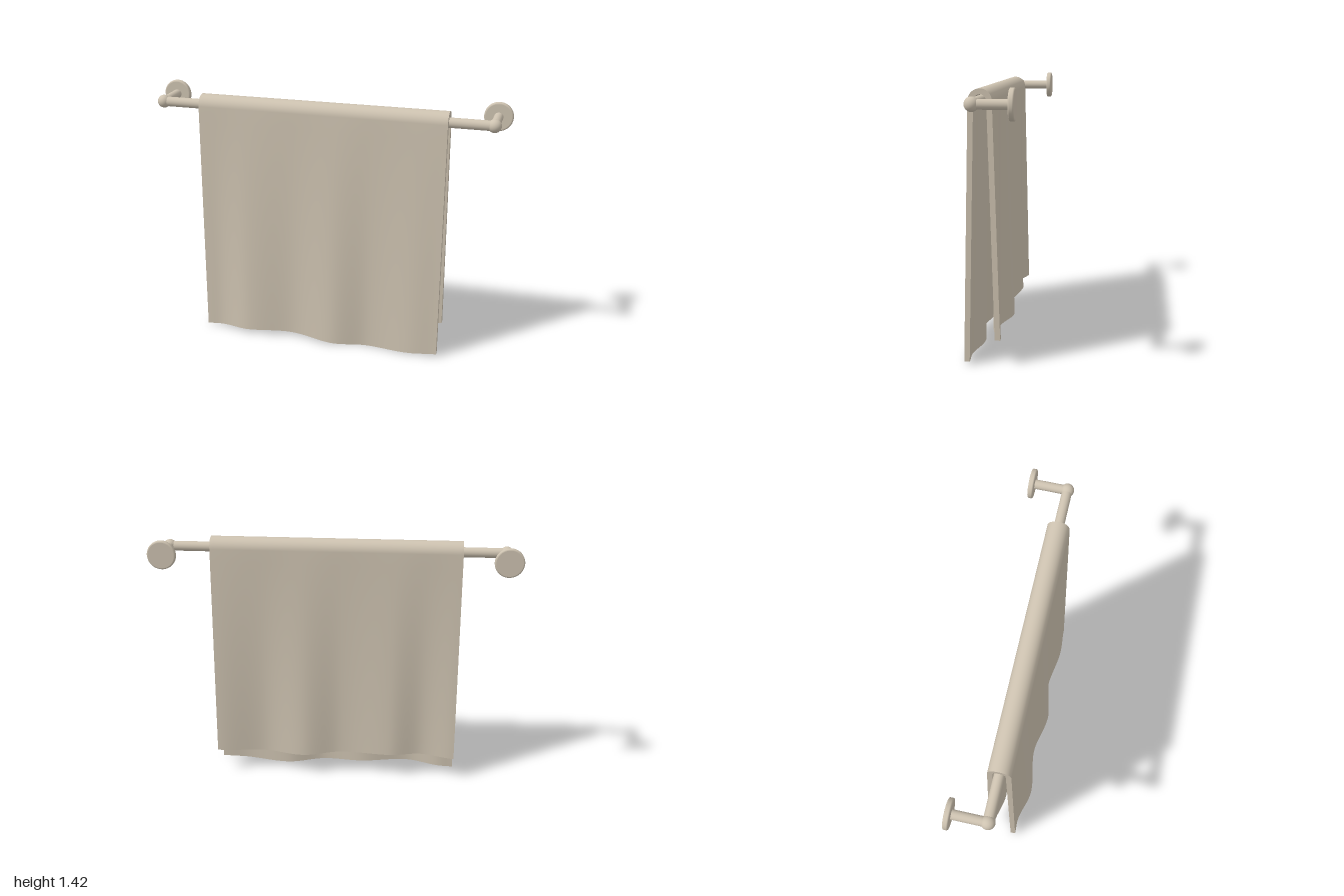
import * as THREE from 'three';
import { mergeGeometries } from 'three/addons/utils/BufferGeometryUtils.js';

const BAR_Y = 1.342, BAR_Z = 0.045, HALF = 0.69;
const OUTER = 0.06, INNER = 0.032;

// Smooth curve through [x, z] points, sampled by x
function curveThrough(points) {
  const n = points.length;
  return (x) => {
    let i = 0;
    while (i < n - 2 && x > points[i + 1][0]) i++;
    const [x0, a] = points[i], [x1, b] = points[i + 1];
    const k = THREE.MathUtils.clamp((x - x0) / (x1 - x0), 0, 1);
    const slope = (j) => {
      if (j === 0 || j === n - 1) return 0;
      const l = points[j][1] - points[j - 1][1], r = points[j + 1][1] - points[j][1];
      return l * r <= 0 ? 0 : (l + r) / (points[j + 1][0] - points[j - 1][0]);
    };
    const h = x1 - x0, k2 = k * k, k3 = k2 * k;
    return (2 * k3 - 3 * k2 + 1) * a + (k3 - 2 * k2 + k) * h * slope(i)
      + (3 * k2 - 2 * k3) * b + (k3 - k2) * h * slope(i + 1);
  };
}

// Fold depth at the lower hem of each panel
const frontFold = curveThrough([[-0.69, 0.01], [-0.62, 0.007], [-0.42, 0.05], [-0.16, 0.012],
  [0.08, 0.05], [0.29, 0.005], [0.55, 0.036], [0.69, 0.026]]);
const backFold = curveThrough([[-0.69, -0.029], [-0.5, 0.005], [-0.32, -0.035], [-0.03, -0.002],
  [0.18, -0.046], [0.42, 0.003], [0.69, -0.039]]);
const frontHem = (x) => 0.016 + 0.013 * Math.cos(5 * (x + 0.3));
const backHem = (x) => 0.134 + 0.009 * Math.cos(5 * (x + 0.3));

// Point on the cloth: s runs 0..1 up the front, 1..2 over the bar, 2..3 down the back
function clothPoint(x, s, r) {
  if (s <= 1) {
    const t = 1 - s;
    return [x, THREE.MathUtils.lerp(BAR_Y, frontHem(x), t), BAR_Z + r + t * frontFold(x)];
  }
  if (s >= 2) {
    const t = s - 2;
    return [x, THREE.MathUtils.lerp(BAR_Y, backHem(x), t), BAR_Z - r + t * backFold(x)];
  }
  const a = (s - 1) * Math.PI;
  return [x, BAR_Y + Math.sin(a) * r, BAR_Z + Math.cos(a) * r];
}

// Grid surface from fn(u, v)
function patch(fn, nu, nv, flip = false) {
  const pos = [], index = [];
  for (let j = 0; j <= nv; j++)
    for (let i = 0; i <= nu; i++) pos.push(...fn(i / nu, j / nv));
  for (let j = 0; j < nv; j++)
    for (let i = 0; i < nu; i++) {
      const a = j * (nu + 1) + i, b = a + 1, c = a + nu + 1, d = c + 1;
      if (flip) index.push(a, d, b, a, c, d);
      else index.push(a, b, d, a, d, c);
    }
  const g = new THREE.BufferGeometry();
  g.setAttribute('position', new THREE.Float32BufferAttribute(pos, 3));
  g.setIndex(index);
  g.computeVertexNormals();
  return g;
}

function towelGeometry() {
  const X = (u) => (u * 2 - 1) * HALF;
  const R = THREE.MathUtils.lerp;
  const NX = 72, NS = 48;
  return mergeGeometries([
    patch((u, v) => clothPoint(X(u), v * 3, OUTER), NX, NS),
    patch((u, v) => clothPoint(X(u), v * 3, INNER), NX, NS, true),
    // side edges
    patch((u, v) => clothPoint(HALF, v * 3, R(OUTER, INNER, u)), 1, NS),
    patch((u, v) => clothPoint(-HALF, v * 3, R(OUTER, INNER, u)), 1, NS, true),
    // lower hems
    patch((u, v) => clothPoint(X(u), 0, R(INNER, OUTER, v)), NX, 1),
    patch((u, v) => clothPoint(X(u), 3, R(INNER, OUTER, v)), NX, 1, true),
  ]);
}

// Wall disc with a rounded rim, axis along y
function discGeometry(radius, depth, round) {
  const h = depth / 2, pts = [new THREE.Vector2(0, -h), new THREE.Vector2(radius - round, -h)];
  const arc = (from, cy) => {
    for (let i = 0; i <= 4; i++) {
      const a = from + (i / 4) * Math.PI / 2;
      pts.push(new THREE.Vector2(radius - round + Math.cos(a) * round, cy + Math.sin(a) * round));
    }
  };
  arc(-Math.PI / 2, -h + round);
  arc(0, h - round);
  pts.push(new THREE.Vector2(radius - round, h), new THREE.Vector2(0, h));
  // doubled corner points keep the flat faces crisp
  return new THREE.LatheGeometry(pts, 48);
}

export function createModel() {
  const group = new THREE.Group();
  const beige = new THREE.MeshStandardMaterial({ color: 0xcdc2b0 });
  beige.name = 'warm beige';

  const add = (name, geometry, x, y, z, parent = group) => {
    const mesh = new THREE.Mesh(geometry, beige);
    mesh.name = name;
    mesh.position.set(x, y, z);
    parent.add(mesh);
    return mesh;
  };

  // Rail
  add('rail', new THREE.CylinderGeometry(0.027, 0.027, 1.84, 32), 0, BAR_Y, BAR_Z).rotation.z = Math.PI / 2;

  // Wall brackets
  for (const [side, sx] of [['left', 1], ['right', -1]]) {
    const bracket = new THREE.Group();
    bracket.name = side + 'Bracket';
    group.add(bracket);
    const x = sx * 0.922;
    add('ballJoint', new THREE.SphereGeometry(0.036, 32, 20), x, BAR_Y, BAR_Z, bracket);
    add('post', new THREE.CylinderGeometry(0.025, 0.025, 0.18, 32), x, BAR_Y, -0.045, bracket)
      .rotation.x = Math.PI / 2;
    add('wallPlate', discGeometry(0.078, 0.028, 0.008), x, BAR_Y, -0.146, bracket)
      .rotation.x = Math.PI / 2;
  }

  // Draped cloth
  add('towel', towelGeometry(), 0, 0, 0);
  return group;
}
